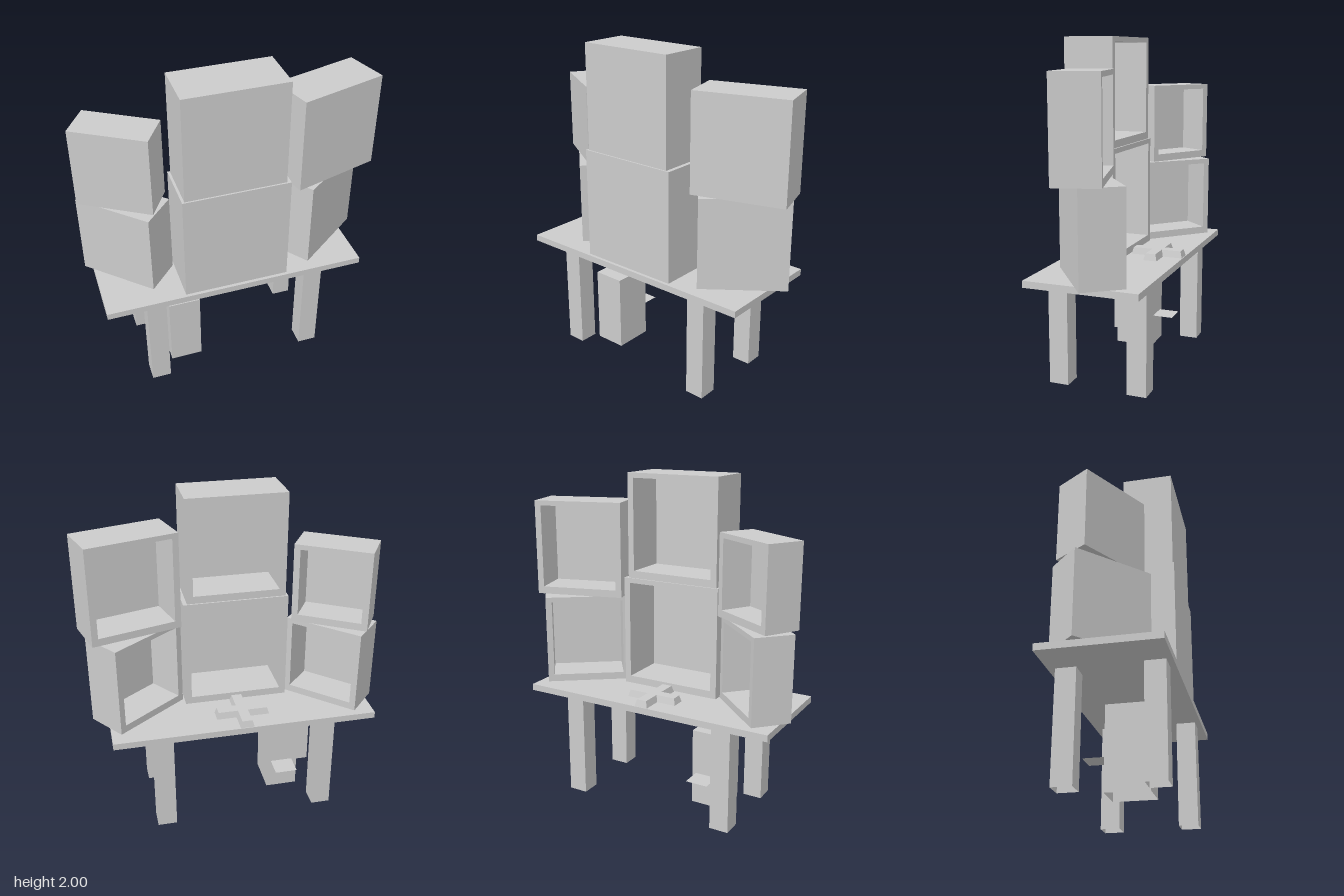
import * as THREE from 'three';

const mat = new THREE.MeshStandardMaterial({ color: 0xcccccc, flatShading: true, side: THREE.DoubleSide });

function add(parent, name, geometry, x, y, z) {
  const mesh = new THREE.Mesh(geometry, mat);
  mesh.name = name;
  mesh.position.set(x, y, z);
  parent.add(mesh);
  return mesh;
}

// Box without its underside
function openBox(w, h, d) {
  const g = new THREE.BoxGeometry(w, h, d);
  const index = Array.from(g.index.array);
  index.splice(18, 6);
  g.setIndex(index);
  g.clearGroups();
  return g;
}

function rectangle(path, x0, y0, x1, y1) {
  return path.moveTo(x0, y0).lineTo(x1, y0).lineTo(x1, y1).lineTo(x0, y1).closePath();
}

// Hollow cabinet, open towards local -z, closed at local +z
function makeMonitor(name, w, h, d, x, y, z, turn) {
  const group = new THREE.Group();
  group.name = name;
  const panel = 0.03;
  const side = 0.038;
  const outline = rectangle(new THREE.Shape(), -w / 2, 0, w / 2, h);
  outline.holes.push(rectangle(new THREE.Path(), -w / 2 + side, 0.045, w / 2 - side, h - 0.03));
  const shell = new THREE.ExtrudeGeometry(outline, { depth: d - panel, bevelEnabled: false });
  add(group, 'cabinetShell', shell, 0, 0, -d / 2);
  add(group, 'closedPanel', new THREE.BoxGeometry(w, h, panel), 0, h / 2, d / 2 - panel / 2);
  group.position.set(x, y, z);
  group.rotation.y = turn;
  return group;
}

// Plus-shaped pad with sloping sides
function makeCross(reach, half, height, slope) {
  const s = new THREE.Shape();
  const corners = [[reach, half], [half, half], [half, reach]];
  const points = [];
  for (let i = 0; i < 4; i++) {
    const c = [1, 0, -1, 0][i], n = [0, 1, 0, -1][i];
    for (const [px, py] of corners) points.push(new THREE.Vector2(px * c - py * n, px * n + py * c));
  }
  s.setFromPoints(points);
  const g = new THREE.ExtrudeGeometry(s, { depth: height, bevelEnabled: false });
  const p = g.attributes.position;
  for (let i = 0; i < p.count; i++) {
    if (p.getZ(i) > height / 2) {
      p.setX(i, p.getX(i) - Math.sign(p.getX(i)) * slope);
      p.setY(i, p.getY(i) - Math.sign(p.getY(i)) * slope);
    }
  }
  g.rotateX(-Math.PI / 2);
  g.computeVertexNormals();
  return g;
}

export function createModel() {
  const model = new THREE.Group();
  model.name = 'monitorDesk';

  // Desk
  add(model, 'tableTop', new THREE.BoxGeometry(1.605, 0.04, 0.68), -0.0425, 0.665, 0);
  for (const x of [-0.545, 0.46]) {
    for (const z of [-0.238, 0.246]) add(model, 'tableLeg', openBox(0.118, 0.645, 0.118), x, 0.3225, z);
  }

  // Computer case with its thin tray
  add(model, 'computerCase', openBox(0.2, 0.48, 0.245), -0.345, 0.24, 0.0625);
  const tray = add(model, 'discTray', new THREE.PlaneGeometry(0.14, 0.13), -0.34, 0.2, -0.125);
  tray.rotation.x = -Math.PI / 2;

  // Stacked monitors: name, width, height, depth, x, y, z, turn
  const monitors = [
    ['lowerCentreMonitor', 0.64, 0.68, 0.32, -0.045, 0.685, 0.16, 0],
    ['upperCentreMonitor', 0.6, 0.635, 0.3, -0.05, 1.365, 0.16, 0],
    ['lowerLeftMonitor', 0.518, 0.55, 0.257, 0.57, 0.685, 0.008, 0.64],
    ['upperLeftMonitor', 0.55, 0.585, 0.27, 0.592, 1.235, 0.04, 0.276],
    ['lowerRightMonitor', 0.488, 0.515, 0.24, -0.633, 0.685, -0.04, -0.757],
    ['upperRightMonitor', 0.462, 0.49, 0.227, -0.637, 1.21, -0.045, -0.546],
  ];
  for (const m of monitors) model.add(makeMonitor(...m));

  // Control pad on the desk
  add(model, 'crossPad', makeCross(0.162, 0.042, 0.04, 0.011), -0.042, 0.685, -0.173);

  return model;
}
